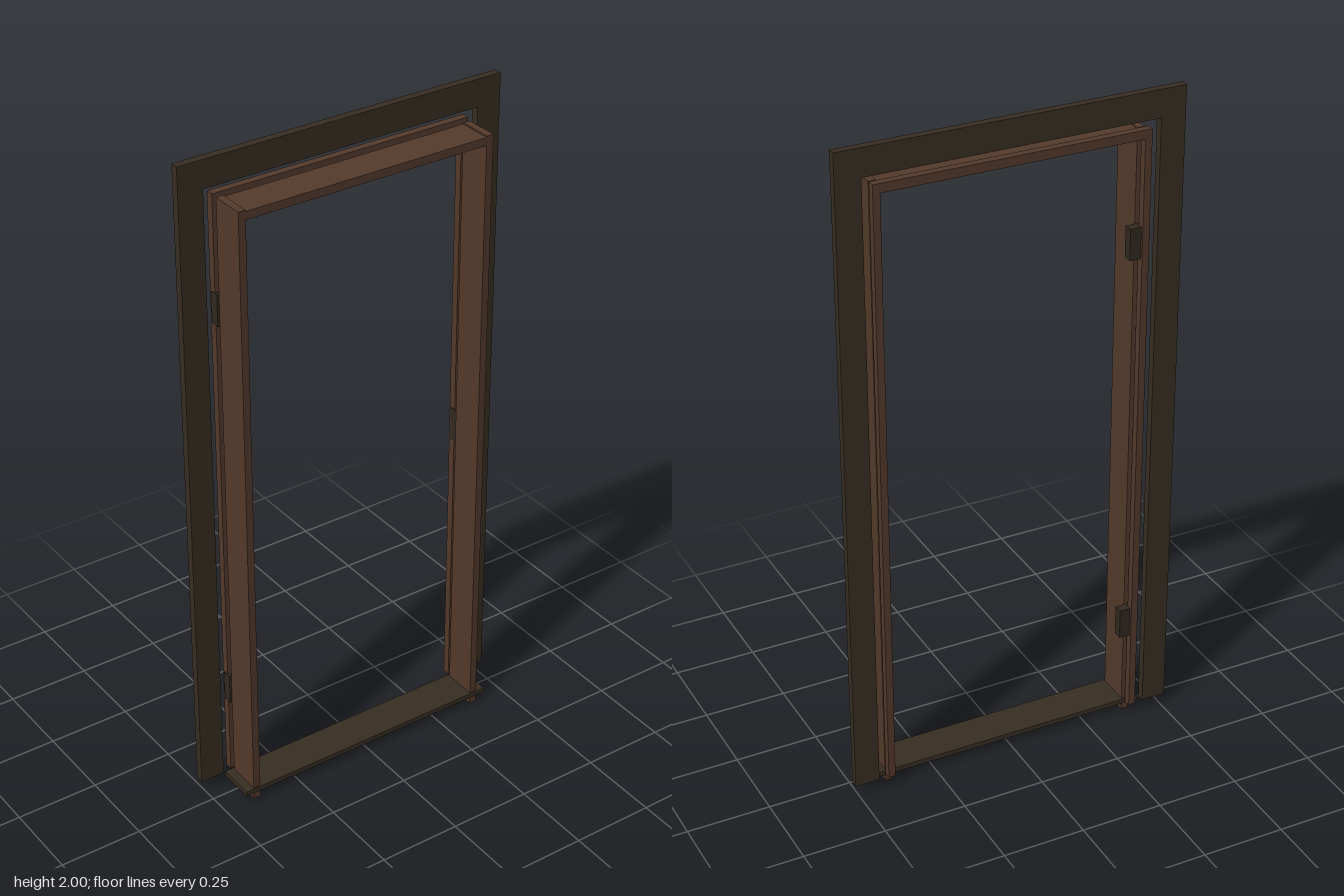
import * as THREE from 'three';

const material = (name, color) => {
  const m = new THREE.MeshStandardMaterial({ color });
  m.name = name;
  return m;
};

export function createModel() {
  const group = new THREE.Group();
  group.name = 'doorFrame';
  const darkWood = material('dark wood', 0x382e23);
  const brownWood = material('brown wood', 0x543a2c);
  const hardware = material('dark metal', 0x30291f);

  // Box given by its lower and upper limits on each axis
  const box = (name, mat, [x0, x1], [y0, y1], [z0, z1]) => {
    const mesh = new THREE.Mesh(new THREE.BoxGeometry(x1 - x0, y1 - y0, z1 - z0), mat);
    mesh.position.set((x0 + x1) / 2, (y0 + y1) / 2, (z0 + z1) / 2);
    mesh.name = name;
    group.add(mesh);
  };

  // Flat U-shaped trim, open at the bottom
  const arch = (name, mat, outer, inner, bottom, top, innerTop, z0, z1) => {
    const shape = new THREE.Shape([
      [-outer, bottom], [-inner, bottom], [-inner, innerTop], [inner, innerTop],
      [inner, bottom], [outer, bottom], [outer, top], [-outer, top],
    ].map(([x, y]) => new THREE.Vector2(x, y)));
    const geometry = new THREE.ExtrudeGeometry(shape, { depth: z1 - z0, bevelEnabled: false });
    const mesh = new THREE.Mesh(geometry, mat);
    mesh.position.z = z0;
    mesh.name = name;
    group.add(mesh);
  };

  // Wide casing and the slim rear trim inside it
  arch('casing', darkWood, 0.51, 0.435, 0.036, 2, 1.918, -0.069, -0.045);
  arch('rearTrim', brownWood, 0.407, 0.386, 0.036, 1.895, 1.868, -0.073, -0.05);

  // Deep jambs with the head board between them
  for (const side of [-1, 1]) {
    const xs = [side * 0.381, side * 0.403].sort((a, b) => a - b);
    box(side > 0 ? 'leftJamb' : 'rightJamb', brownWood, xs, [0, 1.89], [-0.037, 0.067]);
  }
  box('head', brownWood, [-0.381, 0.381], [1.862, 1.886], [-0.037, 0.067]);

  // Threshold
  box('threshold', darkWood, [-0.43, 0.43], [0.025, 0.04], [-0.044, 0.072]);

  // Hinge leaves and strike plate
  for (const y of [0.332, 1.563]) {
    box('hinge', hardware, [-0.409, -0.352], [y - 0.047, y + 0.047], [-0.066, -0.038]);
  }
  box('strikePlate', hardware, [0.384, 0.4], [0.88, 0.985], [-0.066, -0.035]);

  return group;
}
